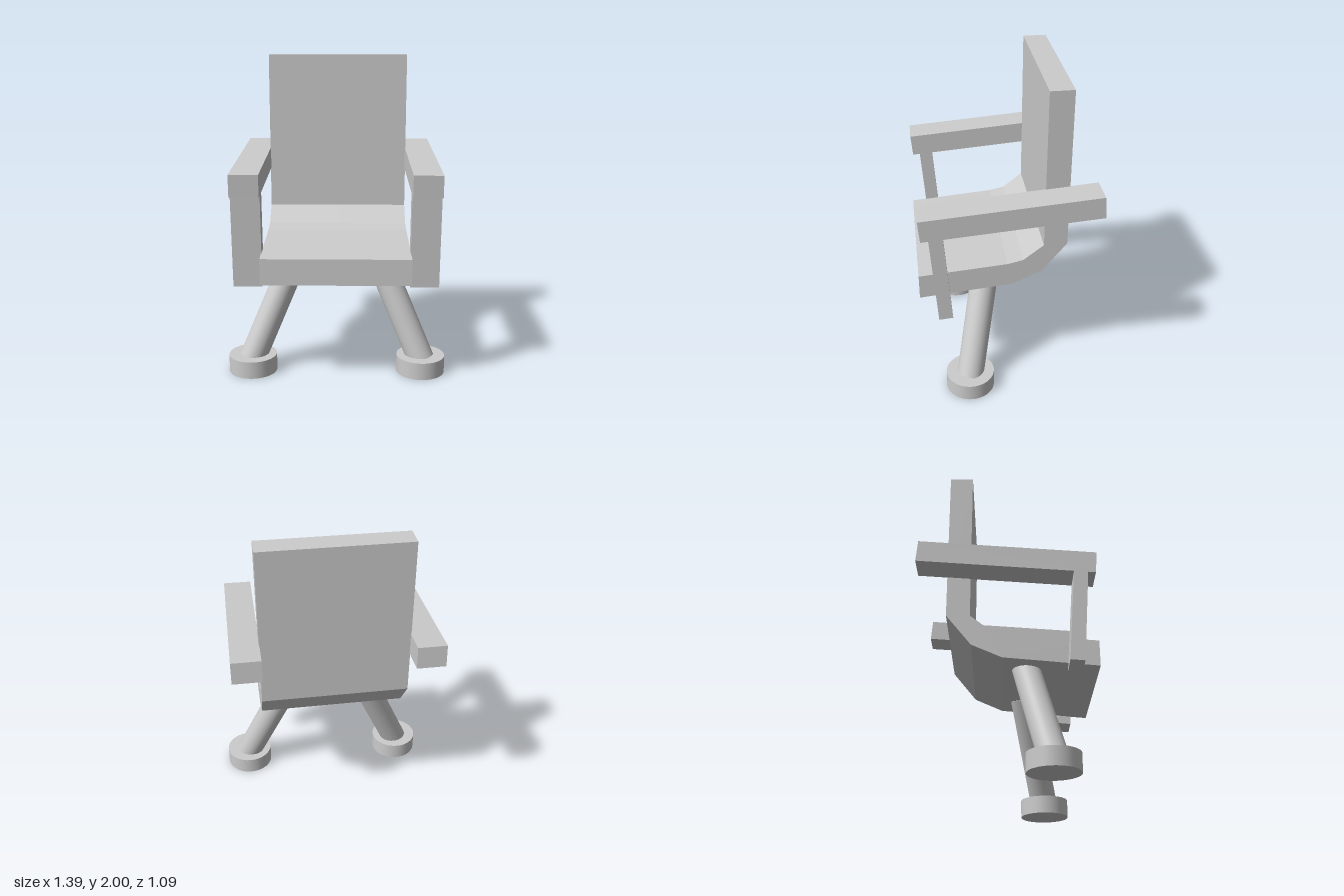
import * as THREE from 'three';

const material = new THREE.MeshStandardMaterial({ color: 0xcccccc });

// Extrudes a side outline of [z, y] points across x0..x1.
function sideProfile(name, points, x0, x1) {
  const shape = new THREE.Shape(points.map(([z, y]) => new THREE.Vector2(-z, y)));
  const geometry = new THREE.ExtrudeGeometry(shape, { depth: x1 - x0, bevelEnabled: false });
  geometry.rotateY(Math.PI / 2);
  geometry.translate(x0, 0, 0);
  const mesh = new THREE.Mesh(geometry, material);
  mesh.name = name;
  return mesh;
}

// Round bar between two points.
function bar(name, from, to, radius) {
  const axis = to.clone().sub(from);
  const mesh = new THREE.Mesh(new THREE.CylinderGeometry(radius, radius, axis.length(), 32), material);
  mesh.position.copy(from).add(to).multiplyScalar(0.5);
  mesh.quaternion.setFromUnitVectors(new THREE.Vector3(0, 1, 0), axis.normalize());
  mesh.name = name;
  return mesh;
}

const shellOutline = [
  [0.546, 0.668], [0.546, 0.83], [0, 0.873], [-0.097, 0.894], [-0.224, 0.994], [-0.224, 2],
  [-0.368, 2], [-0.368, 0.994], [-0.215, 0.802], [-0.03, 0.72],
];
const armOutline = [[0.536, 1.332], [-0.537, 1.409], [-0.548, 1.272], [0.525, 1.195]];
const strutOutline = [[0.481, 1.22], [0.397, 1.226], [0.354, 0.631], [0.439, 0.624]];

export function createModel() {
  const model = new THREE.Group();
  model.name = 'armchair';

  for (const side of [1, -1]) {
    const label = side > 0 ? 'left' : 'right';
    const span = (a, b) => (side > 0 ? [a, b] : [-b, -a]);

    // Seat and backrest, one half per side, with armrest and front strut
    model.add(sideProfile(`${label}SeatAndBack`, shellOutline, ...span(0, 0.453)));
    model.add(sideProfile(`${label}Armrest`, armOutline, ...span(0.45, 0.627)));
    model.add(sideProfile(`${label}ArmSupport`, strutOutline, ...span(0.45, 0.627)));

    // Splayed leg, its upper end sunk into the seat
    model.add(bar(`${label}Leg`,
      new THREE.Vector3(side * 0.544, 0.08, 0.252),
      new THREE.Vector3(side * 0.264, 0.735, 0.114), 0.086));

    // Round foot
    const foot = new THREE.Mesh(new THREE.CylinderGeometry(0.154, 0.154, 0.11, 40), material);
    foot.position.set(side * 0.541, 0.055, 0.252);
    foot.name = `${label}Foot`;
    model.add(foot);
  }
  return model;
}
